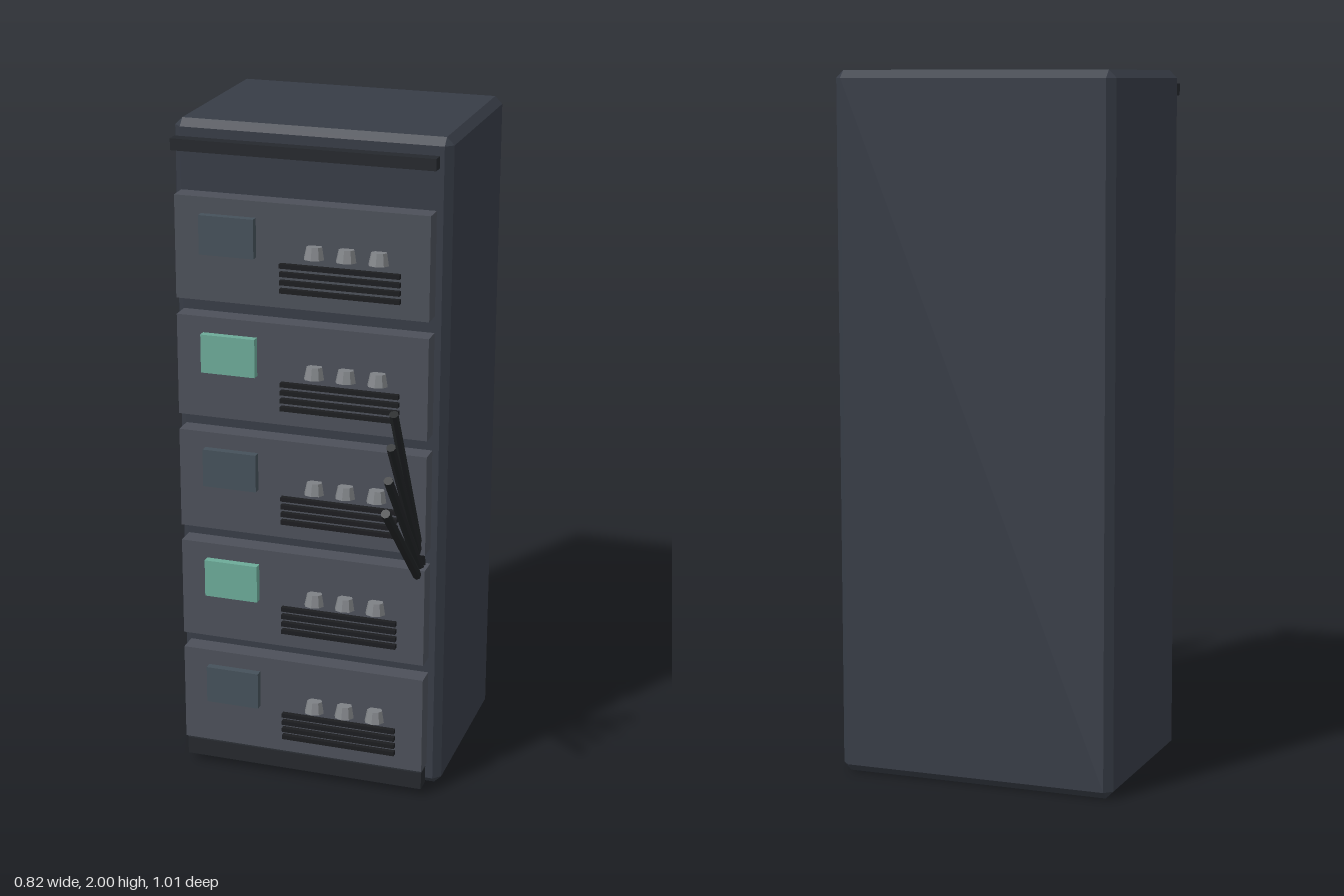
import * as THREE from 'three';
import { ConvexGeometry } from 'three/addons/geometries/ConvexGeometry.js';

const mat = (color) => new THREE.MeshStandardMaterial({ color, flatShading: true });

// Box with all twelve edges chamfered
function chamferBox(w, h, d, c) {
  const pts = [];
  for (const x of [-1, 1]) for (const y of [-1, 1]) for (const z of [-1, 1]) {
    for (let k = 0; k < 3; k++) {
      pts.push(new THREE.Vector3(
        x * (w / 2 - (k === 0 ? 0 : c)),
        y * (h / 2 - (k === 1 ? 0 : c)),
        z * (d / 2 - (k === 2 ? 0 : c))));
    }
  }
  return new ConvexGeometry(pts);
}

export function createModel() {
  const model = new THREE.Group();
  model.name = 'serverCabinet';

  const bodyMat = mat(0x373c46), panelMat = mat(0x4c5059), trimMat = mat(0x25282d);
  const screenOff = mat(0x45515a), screenOn = mat(0x6caa98);
  const knobMat = mat(0x808387), ventMat = mat(0x1c1d20), rodMat = mat(0x212426);

  const add = (parent, name, geometry, material, x, y, z) => {
    const mesh = new THREE.Mesh(geometry, material);
    mesh.name = name;
    mesh.position.set(x, y, z);
    parent.add(mesh);
    return mesh;
  };

  // Cabinet body
  add(model, 'cabinet', chamferBox(0.82, 2, 0.585, 0.022), bodyMat, 0, 1, -0.2125);

  // Trim bars above and below the panels
  add(model, 'topBar', new THREE.BoxGeometry(0.774, 0.034, 0.036), trimMat, 0, 1.945, 0.142);
  add(model, 'bottomBar', new THREE.BoxGeometry(0.746, 0.054, 0.048), trimMat, 0, 0.05, 0.132);

  // Five instrument panels
  const panelGeo = new THREE.BoxGeometry(0.752, 0.304, 0.059);
  const screenGeo = new THREE.BoxGeometry(0.164, 0.115, 0.03);
  const knobGeo = new THREE.CylinderGeometry(0.023, 0.03, 0.036, 8);
  const slatGeo = new THREE.BoxGeometry(0.353, 0.013, 0.02);
  for (let i = 0; i < 5; i++) {
    const unit = new THREE.Group();
    unit.name = `unit${i + 1}`;
    unit.position.y = 1.651 - i * 0.353;
    model.add(unit);
    add(unit, 'panel', panelGeo, panelMat, 0, 0, 0.1355);
    add(unit, 'screen', screenGeo, i % 2 ? screenOn : screenOff, -0.214, 0.047, 0.173);
    for (let k = 0; k < 3; k++) {
      add(unit, 'knob', knobGeo, knobMat, 0.046 + k * 0.094, 0.023, 0.183).rotation.x = -0.1;
    }
    for (let k = 0; k < 4; k++) {
      add(unit, 'ventSlat', slatGeo, ventMat, 0.117, -0.026 - k * 0.0243, 0.17);
    }
  }

  // Fan of four rods on the left side, each leaning further forward
  const length = 0.64;
  const rodGeo = new THREE.CylinderGeometry(0.0135, 0.0135, length, 8);
  for (let i = 0; i < 4; i++) {
    const tilt = 0.5 + i * 0.1;
    const tipY = 1.315 - i * 0.088, tipZ = 0.424 + i * 0.023;
    const rod = add(model, 'rod', rodGeo, rodMat, 0.352,
      tipY - Math.cos(tilt) * length / 2, tipZ - Math.sin(tilt) * length / 2);
    rod.rotation.x = tilt;
  }
  return model;
}
